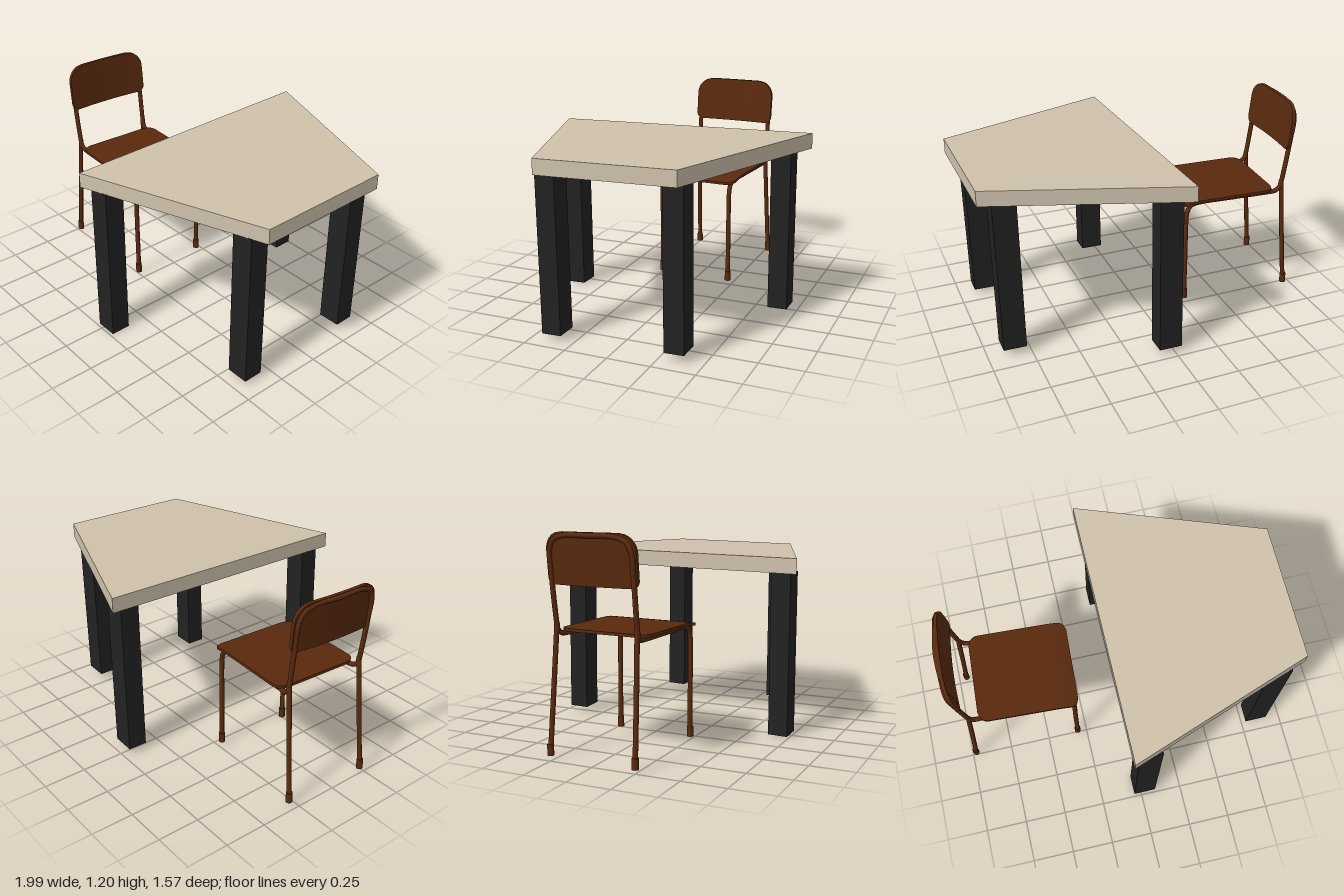
import * as THREE from 'three';

const topMat = new THREE.MeshStandardMaterial({ color: 0xcfc2ac });
const legMat = new THREE.MeshStandardMaterial({ color: 0x222222 });
const woodMat = new THREE.MeshStandardMaterial({ color: 0x5a2a0e });

function add(group, name, geometry, material) {
  const mesh = new THREE.Mesh(geometry, material);
  mesh.name = name;
  group.add(mesh);
  return mesh;
}

// Apply a rule to every vertex, then refresh the normals
function deform(geometry, rule) {
  const p = geometry.attributes.position;
  const v = new THREE.Vector3();
  for (let i = 0; i < p.count; i++) {
    rule(v.fromBufferAttribute(p, i));
    p.setXYZ(i, v.x, v.y, v.z);
  }
  geometry.computeVertexNormals();
  return geometry;
}

// Thin panel with rounded corners: rLow at the -x end, rHigh at the +x end
function panel(length, thick, width, rLow, rHigh, place) {
  return deform(new THREE.BoxGeometry(length, thick, width, 48, 1, 16), (v) => {
    const r = v.x < 0 ? rLow : rHigh;
    const over = Math.max(0, Math.abs(v.x) - (length / 2 - r));
    const half = width / 2 - r + Math.sqrt(Math.max(0, r * r - over * over));
    v.z *= half / (width / 2);
    place(v);
  });
}

function tube(points, radius, segments = 48) {
  const path = new THREE.CatmullRomCurve3(points.map((p) => new THREE.Vector3(...p)), false, 'centripetal');
  return new THREE.TubeGeometry(path, segments, radius, 12);
}

function createTable() {
  const table = new THREE.Group();
  table.name = 'table';

  // Trapezoid top, very slightly tilted
  const shape = new THREE.Shape([[-0.07, -0.78], [1, -0.4], [1, 0.4], [-0.07, 0.785]].map((p) => new THREE.Vector2(...p)));
  const slab = new THREE.ExtrudeGeometry(shape, { depth: 0.088, bevelEnabled: false });
  slab.rotateX(-Math.PI / 2);
  add(table, 'tableTop', deform(slab, (v) => { v.y += 0.955 - 0.017 * v.z; }), topMat);

  // Square legs with sloping ends and a slight lean
  for (const [x, z] of [[0.03, 0.677], [0.848, 0.382], [0.035, -0.655], [0.853, -0.345]]) {
    const leg = new THREE.BoxGeometry(0.134, 1, 0.114);
    deform(leg, (v) => {
      const upper = v.y > 0;
      v.x += x + (upper ? 0.004 : -0.006);
      v.z += z;
      v.y = upper ? 0.957 - 0.017 * v.z : 0.028 + 0.022 * (v.x - 0.45) - 0.024 * v.z;
    });
    add(table, 'tableLeg', leg, legMat);
  }
  return table;
}

function createChair() {
  const chair = new THREE.Group();
  chair.name = 'chair';

  // Seat with its front edge curling down
  add(chair, 'seat', panel(0.59, 0.016, 0.535, 0.06, 0.05, (v) => {
    const f = Math.max(0, v.x - 0.16) / 0.135;
    v.y += 0.676 - 0.019 * f * f;
  }), woodMat);

  // Curved, leaning backrest panel
  add(chair, 'backrest', panel(0.275, 0.02, 0.535, 0.04, 0.1, (v) => {
    const y = v.x, n = v.y;
    v.x = -0.379 - 0.1 * y - n - 0.016 * (1 - (v.z / 0.27) ** 2);
    v.y = 1.063 + y;
  }), woodMat);

  // Hoop behind the backrest
  add(chair, 'backHoop', tube([
    [-0.345, 0.7, 0.243], [-0.362, 0.82, 0.245], [-0.385, 1, 0.246], [-0.398, 1.1, 0.244],
    [-0.404, 1.155, 0.218], [-0.408, 1.18, 0.16], [-0.421, 1.184, 0], [-0.408, 1.18, -0.16],
    [-0.404, 1.155, -0.218], [-0.398, 1.1, -0.244], [-0.385, 1, -0.246], [-0.362, 0.82, -0.245],
    [-0.345, 0.7, -0.243],
  ], 0.014, 120), woodMat);

  for (const s of [-1, 1]) {
    // Front leg bending into the seat rail, then up into the back post
    add(chair, 'frontLegAndRail', tube([
      [0.265, 0.02, s * 0.23], [0.265, 0.3, s * 0.23], [0.265, 0.57, s * 0.23], [0.259, 0.61, s * 0.23],
      [0.238, 0.643, s * 0.23], [0.195, 0.656, s * 0.23], [0, 0.657, s * 0.23], [-0.26, 0.657, s * 0.235],
      [-0.31, 0.662, s * 0.24], [-0.338, 0.685, s * 0.243], [-0.347, 0.73, s * 0.243],
    ], 0.014, 90), woodMat);

    // Raked rear leg
    add(chair, 'rearLeg', tube([
      [-0.405, 0.02, s * 0.26], [-0.375, 0.36, s * 0.252], [-0.346, 0.72, s * 0.243],
    ], 0.014, 12), woodMat);

    // Foot caps
    for (const [x, z] of [[0.265, 0.23], [-0.403, 0.26]]) {
      const foot = add(chair, 'foot', new THREE.CylinderGeometry(0.018, 0.019, 0.06, 16), woodMat);
      foot.position.set(x, 0.045, s * z);
    }
  }

  chair.position.x = -0.56;
  chair.rotation.y = -0.05;
  return chair;
}

export function createModel() {
  const model = new THREE.Group();
  model.name = 'tableAndChair';
  model.add(createTable(), createChair());
  return model;
}
